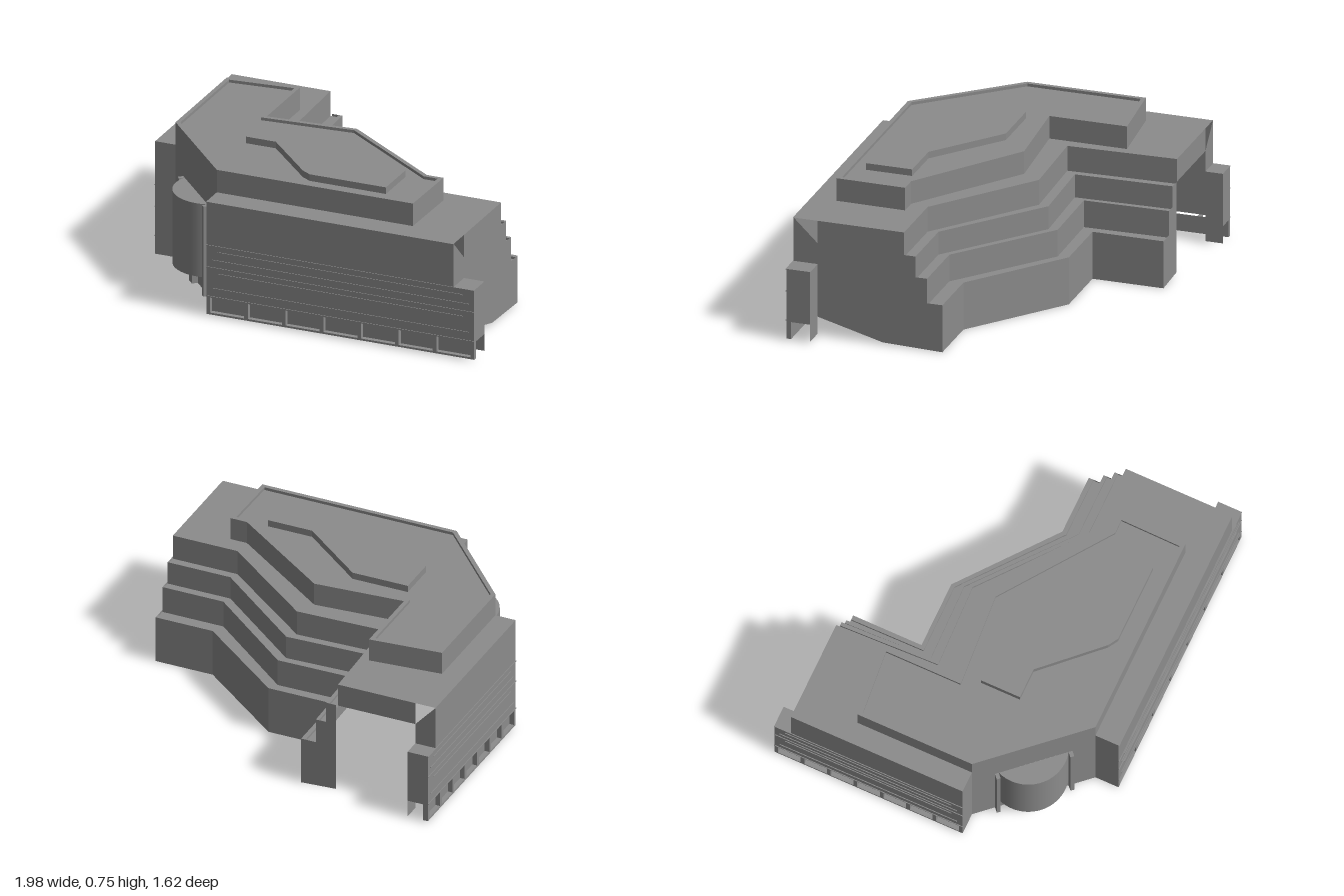
import * as THREE from 'three';

export function createModel() {
  const model = new THREE.Group();
  model.name = 'terracedBuilding';
  const grey = new THREE.MeshStandardMaterial({ color: 0x8c8c8c, side: THREE.DoubleSide });
  grey.name = 'concrete grey';

  const add = (geo, name, parent = model) => {
    const mesh = new THREE.Mesh(geo, grey);
    mesh.name = name;
    parent.add(mesh);
    return mesh;
  };

  // Flat polygon (optionally with a hole), placed in space by a mapping rule
  const face = (pts, map, name, parent, hole) => {
    const shape = new THREE.Shape(pts.map(p => new THREE.Vector2(p[0], p[1])));
    if (hole) shape.holes.push(new THREE.Path(hole.map(p => new THREE.Vector2(p[0], p[1]))));
    const geo = new THREE.ShapeGeometry(shape).toNonIndexed();
    const pos = geo.attributes.position;
    for (let i = 0; i < pos.count; i++) pos.setXYZ(i, ...map(pos.getX(i), pos.getY(i)));
    geo.computeVertexNormals();
    // Make horizontal faces point upward
    if (geo.attributes.normal.getY(0) < -0.5) {
      for (let i = 0; i < pos.count; i += 3) {
        const a = [pos.getX(i), pos.getY(i), pos.getZ(i)];
        pos.setXYZ(i, pos.getX(i + 1), pos.getY(i + 1), pos.getZ(i + 1));
        pos.setXYZ(i + 1, ...a);
      }
      geo.computeVertexNormals();
    }
    return add(geo, name, parent);
  };
  const flat = (pts, y, name, parent, hole) => face(pts, (x, z) => [x, y, z], name, parent, hole);

  // Upright wall following a plan path
  const wall = (path, y0, y1, name, parent, closed = false) => {
    const v = [];
    const n = path.length;
    for (let i = 0; i < (closed ? n : n - 1); i++) {
      const [ax, az] = path[i], [bx, bz] = path[(i + 1) % n];
      v.push(ax, y0, az, ax, y1, az, bx, y0, bz, bx, y0, bz, ax, y1, az, bx, y1, bz);
    }
    const geo = new THREE.BufferGeometry();
    geo.setAttribute('position', new THREE.Float32BufferAttribute(v, 3));
    geo.computeVertexNormals();
    return add(geo, name, parent);
  };

  // Move a closed plan outline inward by d
  const inset = (pts, d) => {
    const area = pts.reduce((s, p, i) => {
      const q = pts[(i + 1) % pts.length];
      return s + p[0] * q[1] - q[0] * p[1];
    }, 0);
    const sg = Math.sign(area);
    return pts.map((p, i) => {
      const a = pts[(i + pts.length - 1) % pts.length], b = pts[(i + 1) % pts.length];
      const nrm = (s, e) => {
        const l = Math.hypot(e[0] - s[0], e[1] - s[1]);
        return [-sg * (e[1] - s[1]) / l, sg * (e[0] - s[0]) / l];
      };
      const m = nrm(a, p), n = nrm(p, b), k = d / (1 + m[0] * n[0] + m[1] * n[1]);
      return [p[0] + (m[0] + n[0]) * k, p[1] + (m[1] + n[1]) * k];
    });
  };

  // Back edges of the stepped floors, lowest first
  const tiers = [
    { y0: 0, y1: 0.25, path: [[-0.25, -0.73], [-0.25, -0.36], [0.10, -0.36], [0.58, 0.02], [0.89, 0.02]] },
    { y0: 0.25, y1: 0.38, path: [[-0.33, -0.73], [-0.32, -0.29], [0.08, -0.295], [0.56, 0.10], [0.89, 0.10]] },
    { y0: 0.38, y1: 0.49, path: [[-0.385, -0.73], [-0.37, -0.225], [0.06, -0.24], [0.55, 0.16], [0.89, 0.16]] },
    { y0: 0.49, y1: 0.61, path: [[-0.45, -0.73], [-0.43, -0.165], [0.03, -0.18], [0.54, 0.22], [0.89, 0.22]] },
  ];
  const lip = 0.012;
  tiers.forEach((t, i) => {
    const g = new THREE.Group();
    g.name = 'terrace' + (i + 1);
    model.add(g);
    wall(t.path, t.y0 - (i ? lip : 0), t.y1, 'terraceWall', g);
    if (i === 3) return;
    const next = tiers[i + 1].path;
    const rim = t.path.map((p, j) => [0, 1].map(c => p[c] + (next[j][c] - p[c]) * 0.3));
    flat([...t.path, ...rim.slice().reverse()], t.y1, 'parapetTop', g);
    wall(rim, t.y1 - lip, t.y1, 'parapetInside', g);
    flat([...rim, ...next.slice().reverse()], t.y1 - lip, 'terraceFloor', g);
  });

  // Broad roof under the top storey
  flat([...tiers[3].path, [0.89, 0.8], [-0.44, 0.8], [-0.44, 0.67], [-0.87, 0.2], [-0.98, 0.2], [-0.98, -0.73]],
    0.61, 'mainRoof');

  // Top storey with parapet
  const top = [[-0.87, -0.42], [-0.49, -0.455], [-0.49, -0.05], [-0.02, -0.085], [0.53, 0.31], [0.62, 0.31],
    [0.615, 0.67], [-0.44, 0.67], [-0.87, 0.2]];
  const topIn = inset(top, 0.022);
  wall(top, 0.61, 0.73, 'topStoreyWall', model, true);
  flat(top, 0.73, 'topParapet', model, topIn);
  wall(topIn, 0.715, 0.73, 'topParapetInside', model, true);
  flat(topIn, 0.715, 'topRoof');

  // Raised rooftop deck
  const deck = [[-0.46, 0.06], [-0.16, 0.06], [0.19, 0.34], [0.43, 0.34], [0.43, 0.58], [0.02, 0.58],
    [-0.03, 0.55], [-0.30, 0.27], [-0.46, 0.27]];
  wall(deck, 0.715, 0.75, 'deckEdge', model, true);
  flat(deck, 0.75, 'deckTop');

  // End walls of the two wings
  face([[0.67, 0.61], [0.22, 0.61], [0.22, 0.49], [0.16, 0.49], [0.16, 0.38], [0.10, 0.38], [0.10, 0.25],
    [0.02, 0.25], [0.02, 0], [0.33, 0.01], [0.67, 0.10]], (z, y) => [0.89, y, z], 'eastEndWall');
  face([[-0.87, 0.61], [-0.45, 0.61], [-0.45, 0.49], [-0.385, 0.49], [-0.385, 0.38], [-0.33, 0.38], [-0.33, 0.25],
    [-0.25, 0.25], [-0.25, 0], [-0.44, 0.01], [-0.44, 0.49], [-0.87, 0.49]], (x, y) => [x, y, -0.73], 'northEndWall');

  // Projecting facade: u runs along it, d outward from the building
  const facade = (name, at, u0, u1, uTop, depth, lining) => {
    const g = new THREE.Group();
    g.name = name;
    model.add(g);
    const quad = (a, b, y0, y1, d, n) => face([[a, y0], [b, y0], [b, y1], [a, y1]], (u, y) => at(u, y, d), n, g);
    const side = (u, pts, n) => face(pts, (d, y) => at(u, y, d), n, g);
    const block = (a, b, y0, y1, d0, d1, n) => {
      const p = new THREE.Vector3(...at(a, y0, d0)), q = new THREE.Vector3(...at(b, y1, d1));
      const c = p.clone().add(q).multiplyScalar(0.5), s = q.sub(p);
      add(new THREE.BoxGeometry(Math.abs(s.x), Math.abs(s.y), Math.abs(s.z)), n, g).position.copy(c);
    };
    const dir = Math.sign(u1 - u0);
    quad(u0, u1, 0.1, 0.38, depth, 'lowerFront');
    quad(u0, uTop, 0.38, 0.61, depth, 'upperFront');
    side(u0, [[0, 0.01], [depth, 0.01], [depth, 0.61], [0, 0.61]], 'innerReturn');
    side(u1, [[0, 0.1], [depth, 0.1], [depth, 0.38], [0, 0.38]], 'outerReturn');
    side(uTop, [[0, 0.38], [depth, 0.38], [depth, 0.49], [0, 0.49]], 'upperReturn');
    side(uTop, [[0, 0.49], [depth, 0.49], [depth, 0.61]], 'cornerGusset');
    face([[uTop, 0], [u1, 0], [u1, depth], [uTop, depth]], (u, d) => at(u, 0.38, d), 'endCap', g);
    if (lining) quad(u0, uTop, 0.1, 0.61, 0, 'innerLining');
    quad(uTop, u1, 0.01, 0.38, 0, 'endLining');
    // Ground-level bays between piers
    quad(u0, u1, 0.01, 0.1, depth - 0.025, 'baseRecess');
    for (let i = 0; i <= 7; i++) {
      const c = u0 + (u1 - u0 - dir * 0.02) * i / 7;
      block(c, c + dir * 0.02, 0.01, 0.1, depth - 0.025, depth, 'pier');
    }
    block(u0, u1, 0.01, 0.02, depth - 0.025, depth, 'plinth');
    // Thin horizontal window courses
    [0.105, 0.15, 0.23, 0.26, 0.3, 0.345, 0.376].forEach((y, r) => {
      const s = dir * 0.03 * (r % 3);
      block(u0 + s, u1 - s, y, y + 0.004, depth, depth + 0.004, 'windowCourse');
    });
  };
  facade('southFacade', (u, y, d) => [u, y, 0.67 + d], -0.44, 1.0, 0.89, 0.125, true);
  facade('westFacade', (u, y, d) => [-0.87 - d, y, u], 0.2, -0.82, -0.73, 0.11, false);

  // Angled corner with a rounded entrance bay, in its own local frame
  const corner = new THREE.Group();
  corner.name = 'entranceCorner';
  corner.position.set(-0.655, 0, 0.435);
  corner.rotation.y = -Math.atan2(0.47, 0.43);
  model.add(corner);
  const half = Math.hypot(0.43, 0.47) / 2, w = 0.18;
  face([[-half, 0.01], [half, 0.01], [half, 0.61], [-half, 0.61]], (x, y) => [x, y, 0], 'cornerWall', corner,
    [[-w, 0.1], [w, 0.1], [w, 0.49], [-w, 0.49]]);
  const R = 0.2, back = -0.087, a = Math.asin(w / R);
  const bay = add(new THREE.CylinderGeometry(R, R, 0.39, 20, 1, true, -a, 2 * a), 'roundedBay', corner);
  bay.position.set(0, 0.295, back);
  const arc = [];
  for (let i = 0; i <= 20; i++) {
    const t = -a + 2 * a * i / 20;
    arc.push([R * Math.sin(t), back + R * Math.cos(t)]);
  }
  flat(arc, 0.49, 'bayRoof', corner);
  flat(arc, 0.1, 'baySill', corner);
  // Jambs beside the bay and a small door post below
  for (const s of [-1, 1]) {
    add(new THREE.BoxGeometry(0.02, 0.48, 0.03), 'bayJamb', corner).position.set(s * (w + 0.01), 0.25, 0.015);
  }
  add(new THREE.BoxGeometry(0.05, 0.08, 0.03), 'doorPost', corner).position.set(0, 0.05, 0.015);
  return model;
}
